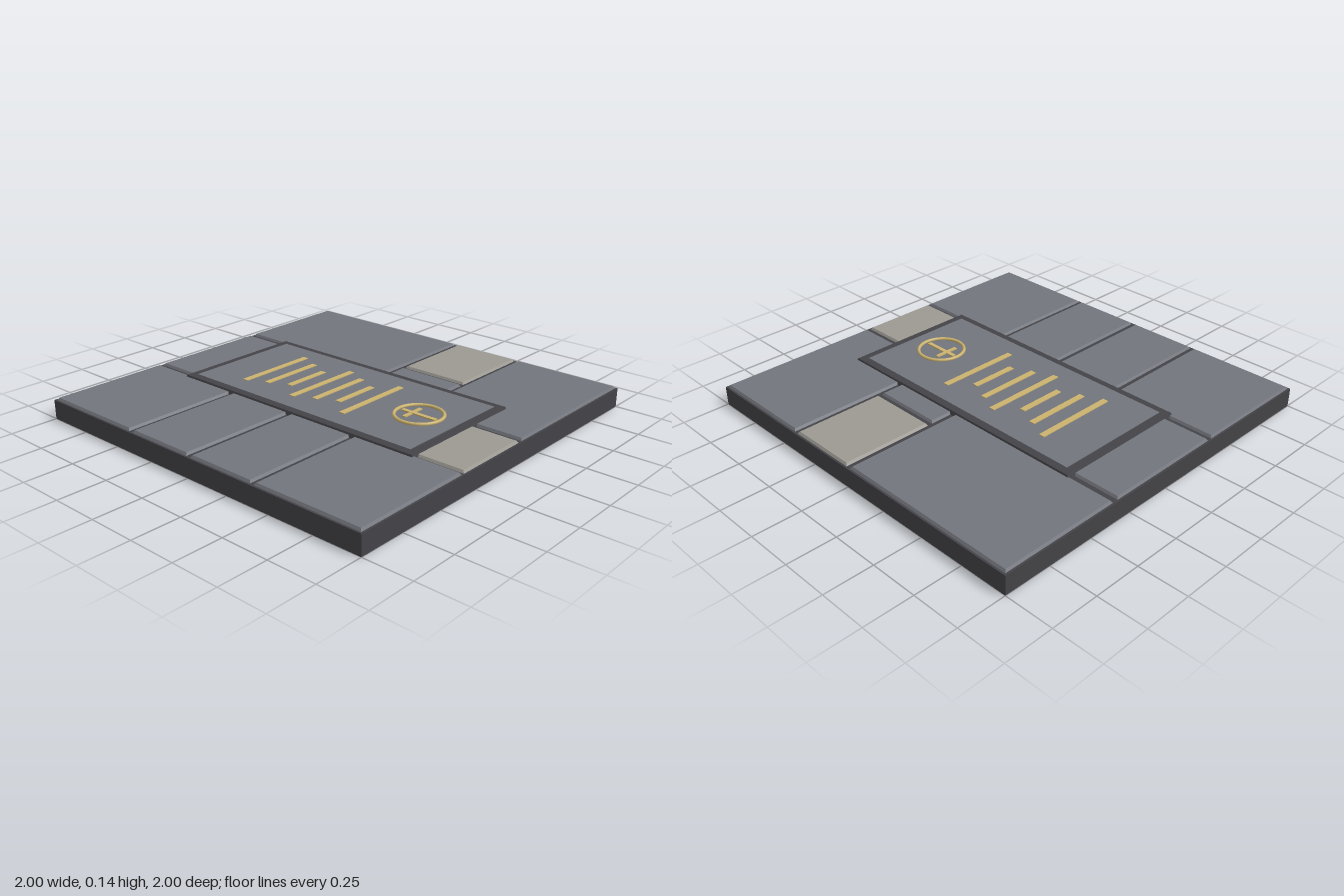
import * as THREE from 'three';

const mat = (name, color) => {
  const m = new THREE.MeshStandardMaterial({ color });
  m.name = name;
  return m;
};

export function createModel() {
  const group = new THREE.Group();
  const darkStone = mat('dark stone', 0x444448);
  const slateGrey = mat('slate grey', 0x72757d);
  const paleStone = mat('pale stone', 0x9c9a92);
  const gold = mat('gold', 0xccb36e);

  // Block given by its extents, with the top face drawn in to make a chamfer
  function block(name, material, [x0, x1], [z0, z1], [y0, y1], chamfer = 0) {
    const w = x1 - x0, d = z1 - z0;
    let geo = new THREE.BoxGeometry(w, y1 - y0, d);
    const p = geo.attributes.position;
    for (let i = 0; i < p.count; i++) {
      if (p.getY(i) > 0) {
        p.setX(i, p.getX(i) - Math.sign(p.getX(i)) * chamfer);
        p.setZ(i, p.getZ(i) - Math.sign(p.getZ(i)) * chamfer);
      }
    }
    geo = geo.toNonIndexed();
    geo.computeVertexNormals();
    const mesh = new THREE.Mesh(geo, material);
    mesh.name = name;
    mesh.position.set((x0 + x1) / 2, (y0 + y1) / 2, (z0 + z1) / 2);
    group.add(mesh);
  }

  // Base slab
  block('baseSlab', darkStone, [-1, 1], [-1, 1], [0, 0.1]);

  // Paving tiles with open joints; the middle ones run under the plaque
  const tiles = [
    [-0.99, -0.345, -0.99, -0.415],
    [-0.99, -0.345, -0.39, -0.013],
    [-0.99, -0.345, 0.013, 0.387],
    [-0.99, -0.345, 0.41, 0.99],
    [-0.32, 0.325, -0.99, -0.415],
    [0.355, 0.99, -0.99, -0.013],
    [0.12, 0.49, 0.013, 0.387],
    [0.115, 0.99, 0.41, 0.99],
  ];
  const paleTiles = [
    [0.513, 0.99, 0.013, 0.387],
    [-0.33, 0.09, 0.41, 0.99],
  ];
  for (const [x0, x1, z0, z1] of tiles) {
    block('pavingTile', slateGrey, [x0, x1], [z0, z1], [0.1, 0.112], 0.008);
  }
  for (const [x0, x1, z0, z1] of paleTiles) {
    block('palePavingTile', paleStone, [x0, x1], [z0, z1], [0.1, 0.112], 0.008);
  }

  // Raised plaque: dark border with an inset panel
  block('plaqueBorder', darkStone, [-0.373, 0.373], [-0.748, 0.748], [0.1, 0.121], 0.008);
  block('plaquePanel', slateGrey, [-0.327, 0.327], [-0.7, 0.7], [0.12, 0.124]);

  // Inlaid gold bars in a repeating long, medium, short rhythm
  const halfWidths = [0.225, 0.177, 0.128];
  for (let i = 0; i < 7; i++) {
    const w = halfWidths[i % 3], z = -0.45 + i * 0.11;
    block('goldBar', gold, [-w, w], [z - 0.016, z + 0.016], [0.123, 0.128]);
  }

  // Ring with a cross inside
  const ring = new THREE.Mesh(new THREE.TorusGeometry(0.12, 0.009, 8, 32), gold);
  ring.name = 'emblemRing';
  ring.rotation.x = -Math.PI / 2;
  ring.position.set(0, 0.129, 0.498);
  group.add(ring);
  block('crossUpright', gold, [-0.011, 0.011], [0.4, 0.596], [0.123, 0.131]);
  block('crossArm', gold, [-0.065, 0.065], [0.448, 0.468], [0.123, 0.13]);

  return group;
}
